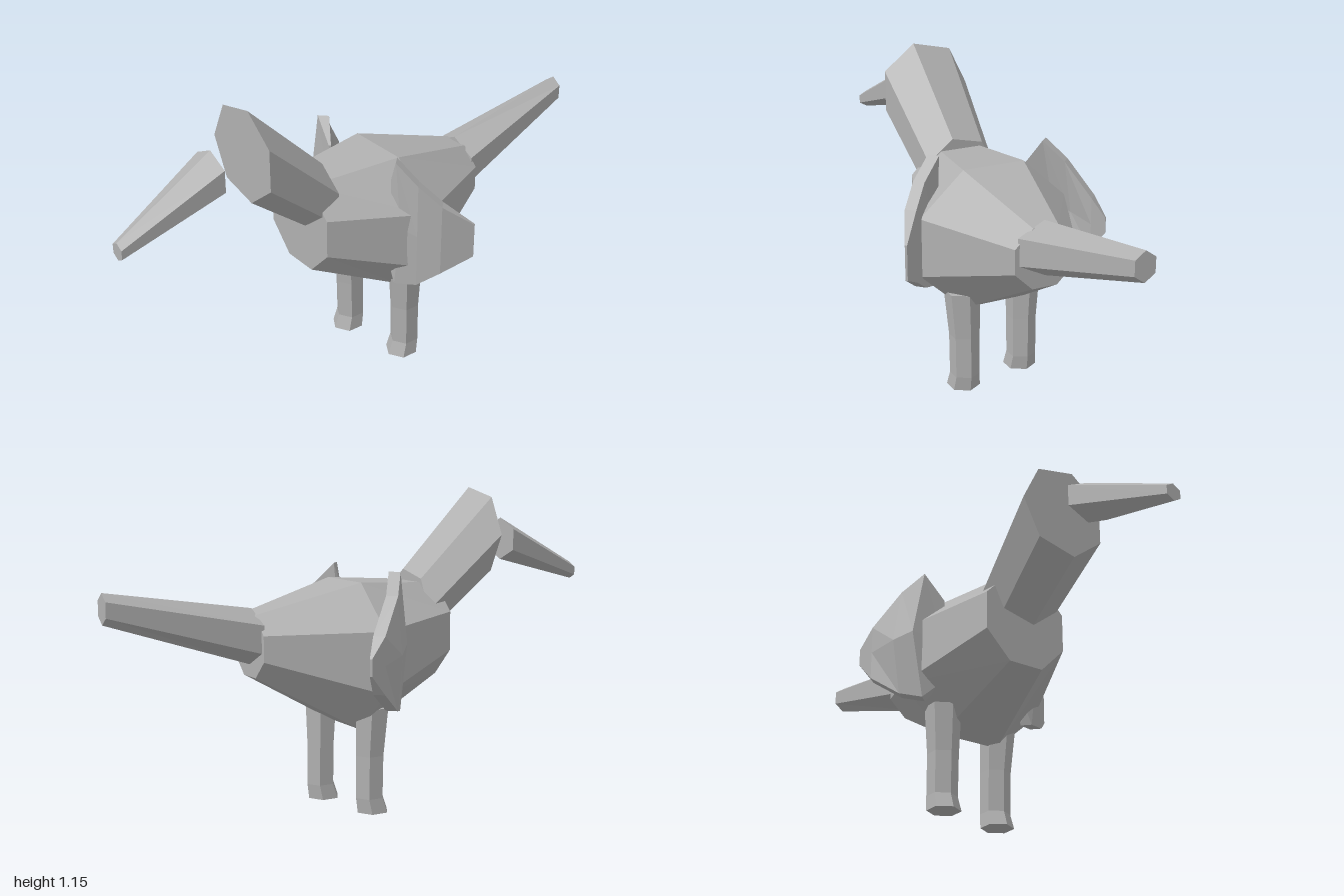
import * as THREE from 'three';

const grey = new THREE.MeshStandardMaterial({ color: 0xb0b0b0, flatShading: true });
grey.name = 'grey';

// Closed, faceted solid through a list of rings (each ring turns anticlockwise about the direction of travel)
function loft(name, rings) {
  const n = rings[0].length, pos = [];
  const tri = (a, b, c) => pos.push(...a, ...b, ...c);
  for (let r = 0; r < rings.length - 1; r++) {
    const lo = rings[r], hi = rings[r + 1];
    for (let i = 0; i < n; i++) {
      const j = (i + 1) % n;
      tri(lo[i], lo[j], hi[j]);
      tri(lo[i], hi[j], hi[i]);
    }
  }
  const first = rings[0], last = rings[rings.length - 1];
  for (let i = 1; i < n - 1; i++) {
    tri(first[0], first[i + 1], first[i]);
    tri(last[0], last[i], last[i + 1]);
  }
  const geo = new THREE.BufferGeometry();
  geo.setAttribute('position', new THREE.Float32BufferAttribute(pos, 3));
  geo.computeVertexNormals();
  const mesh = new THREE.Mesh(geo, grey);
  mesh.name = name;
  return mesh;
}

// Polygon ring facing +z
function ringZ(n, startDeg, x, y, z, rx, ry) {
  return Array.from({ length: n }, (_, i) => {
    const a = THREE.MathUtils.degToRad(startDeg) + (i / n) * Math.PI * 2;
    return [x + rx * Math.cos(a), y + ry * Math.sin(a), z];
  });
}

// Hexagonal ring facing +y, one corner to the front
function ringY(x, y, z, r) {
  return Array.from({ length: 6 }, (_, i) => {
    const a = (i / 6) * Math.PI * 2;
    return [x + r * Math.sin(a), y, z + r * Math.cos(a)];
  });
}

// Curved, thin wing from columns of [x, z, top, bottom, bulge]
function wing(name, side, columns) {
  const rings = columns.map(([x, z, top, bottom, bulge], k) => {
    const mid = (top + bottom) / 2;
    const t = k === 0 || k === columns.length - 1 ? 0.006 : 0.03;
    const p = (px, y, pz) => [side * px, y, pz];
    return [
      p(x, top, z), p(x + bulge, mid, z), p(x, bottom, z),
      p(x - t, bottom, z - t), p(x + bulge - t, mid, z - t), p(x - t, top, z - t),
    ];
  });
  return loft(name, side > 0 ? rings : rings.reverse());
}

export function createModel() {
  const model = new THREE.Group();
  model.name = 'bird';

  // Octagonal body, widest just behind the middle
  const k = 1 / Math.cos(Math.PI / 8);
  model.add(loft('body', [
    ringZ(8, 22.5, 0, 0.62, -0.46, 0.115 * k, 0.11 * k),
    ringZ(8, 22.5, 0, 0.565, -0.08, 0.29 * k, 0.265 * k),
    ringZ(8, 22.5, 0, 0.64, 0.27, 0.165 * k, 0.17 * k),
  ]));

  // Seven-sided neck and head leaning forward
  model.add(loft('head', [
    ringZ(7, 77, 0, 0.715, 0.19, 0.144, 0.144),
    ringZ(7, 77, 0.01, 0.982, 0.495, 0.177, 0.175),
  ]));

  // Beak floating in front of the head
  model.add(loft('beak', [
    ringZ(6, 90, 0.013, 0.955, 0.62, 0.097, 0.08),
    ringZ(6, 90, 0.052, 0.812, 1, 0.033, 0.032),
  ]));

  // Tapered tail
  model.add(loft('tail', [
    ringZ(6, 90, -0.035, 0.783, -1, 0.043, 0.053),
    ringZ(6, 90, 0, 0.65, -0.45, 0.115, 0.1),
  ]));

  // Legs, the left one set slightly further back
  for (const [name, x, z] of [['leftLeg', 0.133, -0.1], ['rightLeg', -0.132, -0.043]]) {
    const s = Math.sign(x);
    model.add(loft(name, [
      ringY(x, 0, z + 0.003, 0.061),
      ringY(x, 0.055, z - 0.01, 0.055),
      ringY(x, 0.21, z - 0.008, 0.056),
      ringY(x + s * 0.006, 0.385, z - 0.002, 0.066),
    ]));
  }

  // Wings sweeping outward and back
  model.add(wing('leftWing', 1, [
    [0.19, 0.01, 0.8, 0.44, 0],
    [0.215, 0.01, 0.875, 0.385, 0.03],
    [0.29, -0.03, 0.8, 0.4, 0],
    [0.35, -0.09, 0.725, 0.455, 0],
    [0.4, -0.2, 0.64, 0.51, 0],
  ]));
  model.add(wing('rightWing', -1, [
    [0.175, 0.01, 0.785, 0.46, 0],
    [0.255, 0, 0.875, 0.385, 0.045],
    [0.32, -0.05, 0.8, 0.4, 0.03],
    [0.385, -0.14, 0.675, 0.475, 0],
    [0.4, -0.2, 0.605, 0.545, 0],
  ]));

  return model;
}
